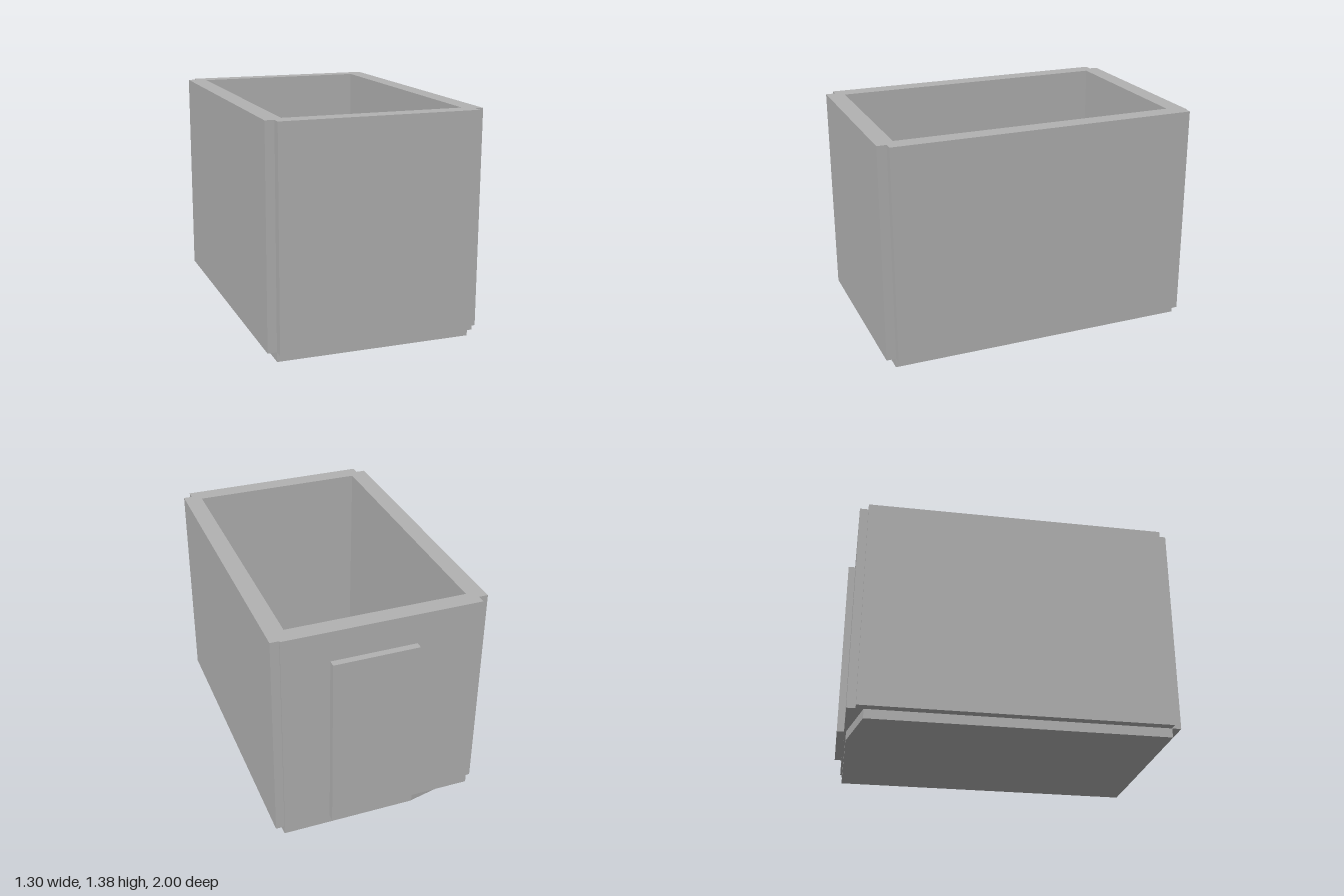
import * as THREE from 'three';

export function createModel() {
  const model = new THREE.Group();
  model.name = 'room';
  const grey = new THREE.MeshStandardMaterial({ color: 0xb2b2b2 });
  grey.name = 'plain grey';

  // Box given by its limits along each axis
  function block(name, [x0, x1], [y0, y1], [z0, z1]) {
    const mesh = new THREE.Mesh(new THREE.BoxGeometry(x1 - x0, y1 - y0, z1 - z0), grey);
    mesh.position.set((x0 + x1) / 2, (y0 + y1) / 2, (z0 + z1) / 2);
    mesh.name = name;
    model.add(mesh);
    return mesh;
  }

  const floorTop = 0.057;
  const wall = [floorTop, 1.38];

  // Floor slab with one back corner cut at a slant (outline in x and -z)
  const outline = new THREE.Shape([
    [-0.6, -0.945], [0.597, -0.945], [0.597, 0.945], [-0.225, 0.945], [-0.6, 0.86],
  ].map(([x, y]) => new THREE.Vector2(x, y)));
  const floor = new THREE.Mesh(
    new THREE.ExtrudeGeometry(outline, { depth: floorTop, bevelEnabled: false }), grey);
  floor.rotation.x = -Math.PI / 2;
  floor.name = 'floor';
  model.add(floor);

  // Walls, overlapping at the notched corners
  block('frontWall', [-0.6, 0.597], wall, [0.89, 1.0]);
  block('backWall', [-0.6, 0.597], wall, [-0.957, -0.85]);
  block('leftWall', [0.54, 0.65], wall, [-0.947, 0.942]);
  block('rightWall', [-0.655, -0.545], wall, [-0.905, 0.942]);

  // Door on the outside of the back wall
  block('door', [-0.207, 0.313], [0.062, 1.19], [-1.0, -0.95]);

  // Furniture
  block('counter', [0.265, 0.542], [floorTop, 0.757], [-0.38, 0.6]);
  block('stool', [0.287, 0.515], [floorTop, 0.605], [0.64, 0.855]);
  block('cabinet', [-0.547, -0.277], [floorTop, 0.83], [-0.712, -0.497]).rotation.y = 0.02;

  return model;
}
